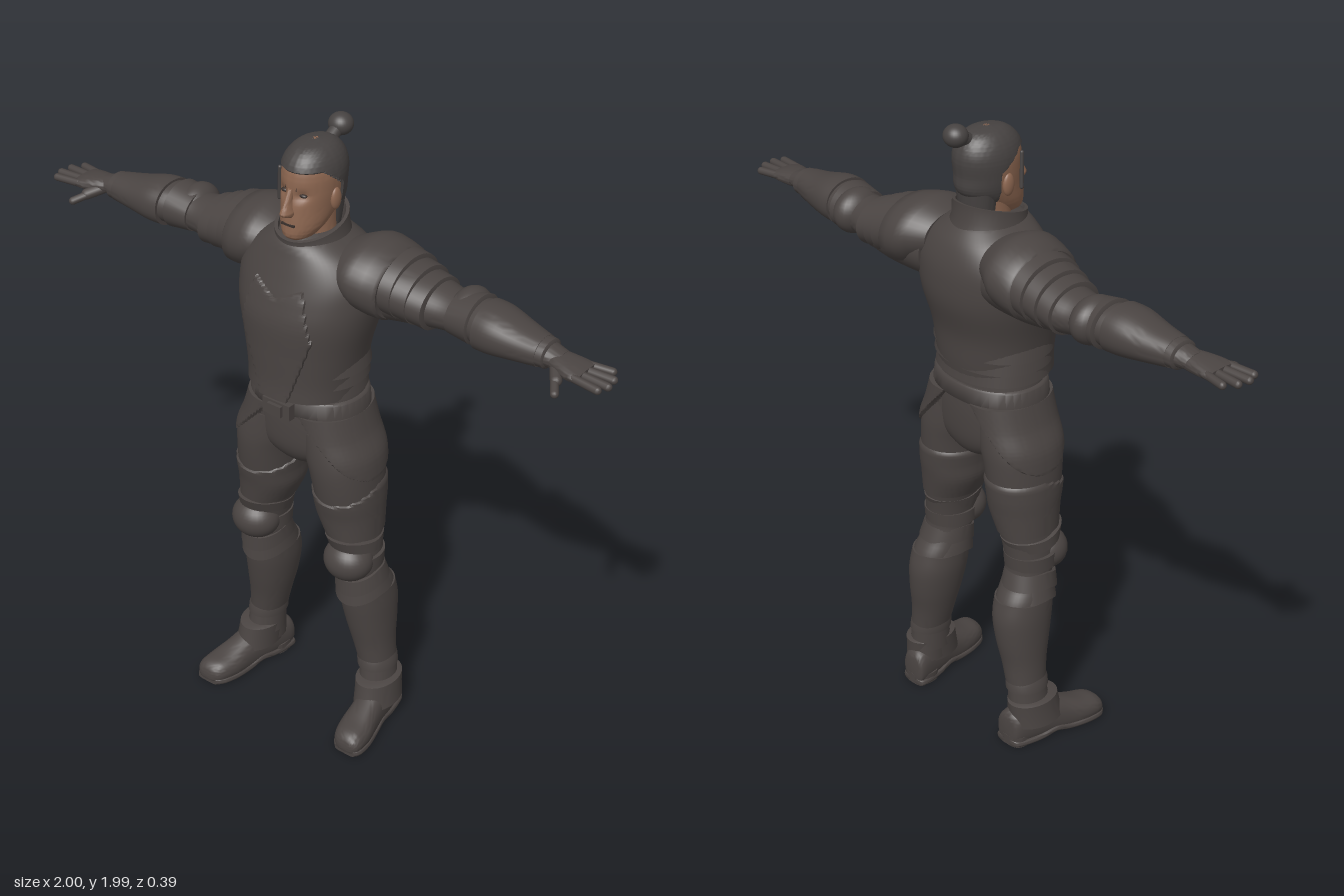
import * as THREE from 'three';
import { toCreasedNormals } from 'three/addons/utils/BufferGeometryUtils.js';

const mat = (name, color) => Object.assign(new THREE.MeshStandardMaterial({ color }), { name });

// Catmull-Rom interpolation of cross-section rows
function refine(rows, sub) {
  const out = [];
  for (let i = 0; i < rows.length - 1; i++) {
    const p0 = rows[Math.max(i - 1, 0)], p1 = rows[i], p2 = rows[i + 1], p3 = rows[Math.min(i + 2, rows.length - 1)];
    for (let k = 0; k < sub; k++) {
      const t = k / sub;
      out.push(p1.map((v, j) => 0.5 * (2 * v + (p2[j] - p0[j]) * t + (2 * p0[j] - 5 * v + 4 * p2[j] - p3[j]) * t * t
        + (3 * v - p0[j] - 3 * p2[j] + p3[j]) * t * t * t)));
    }
  }
  out.push(rows[rows.length - 1]);
  return out;
}

// Closed loft; row = [position on axis, centre a, centre b, radius a, radius b].
// A mask keeps only part of the surface raised, which makes a fitted plate.
function loft(axis, rows, { seg = 40, sub = 4, n = 2, mask, raise = 0, deform } = {}) {
  const rings = refine(rows, sub), pos = [], idx = [];
  const place = (t, a, b) => axis === 'y' ? [a, t, b] : axis === 'x' ? [t, a, b] : [a, b, t];
  for (const [t, a, b, ra, rb] of rings) {
    for (let j = 0; j < seg; j++) {
      const th = j / seg * Math.PI * 2, c0 = Math.cos(th), s0 = Math.sin(th);
      const c = Math.sign(c0) * Math.abs(c0) ** (2 / n), s = Math.sign(s0) * Math.abs(s0) ** (2 / n);
      let off = raise;
      if (mask) off = -0.012 + (raise + 0.012) * THREE.MathUtils.smoothstep(mask(...place(t, a + ra * c, b + rb * s)), -0.004, 0.004);
      let p = place(t, a + Math.max(ra + off, 0.001) * c, b + Math.max(rb + off, 0.001) * s);
      if (deform) p = deform(...p);
      pos.push(...p);
    }
  }
  const last = (rings.length - 1) * seg, c0 = rings.length * seg;
  for (const start of [0, last]) {
    const m = [0, 0, 0];
    for (let j = 0; j < seg; j++) for (let k = 0; k < 3; k++) m[k] += pos[(start + j) * 3 + k] / seg;
    pos.push(...m);
  }
  for (let j = 0; j < seg; j++) {
    const k = (j + 1) % seg;
    for (let i = 0; i < rings.length - 1; i++) {
      const a = i * seg + j, b = a + seg, c = i * seg + k, d = c + seg;
      idx.push(a, b, c, c, b, d);
    }
    idx.push(c0, j, k, c0 + 1, last + k, last + j);
  }
  // turn the faces outward
  const v = i => new THREE.Vector3().fromArray(pos, i * 3);
  let vol = 0;
  for (let i = 0; i < idx.length; i += 3) vol += v(idx[i]).dot(v(idx[i + 1]).cross(v(idx[i + 2])));
  if (vol < 0) idx.reverse();
  const g = new THREE.BufferGeometry();
  g.setAttribute('position', new THREE.Float32BufferAttribute(pos, 3));
  g.setIndex(idx);
  return toCreasedNormals(g, 0.75);
}

function mirrored(src) {
  const g = src.index ? src.toNonIndexed() : src.clone();
  g.deleteAttribute('uv');
  g.scale(-1, 1, 1);
  for (const key of ['position', 'normal']) {
    const a = g.attributes[key].array;
    for (let i = 0; i < a.length; i += 9) for (let k = 3; k < 6; k++) [a[i + k], a[i + k + 3]] = [a[i + k + 3], a[i + k]];
  }
  return g;
}

const ball = (x, y, z, rx, ry, rz) => new THREE.SphereGeometry(1, 28, 20).scale(rx, ry, rz).translate(x, y, z);
const box = (x, y, z, w, h, d) => new THREE.BoxGeometry(w, h, d).translate(x, y, z);
function rod(a, b, r) {
  const A = new THREE.Vector3(...a), B = new THREE.Vector3(...b), d = B.clone().sub(A);
  const q = new THREE.Quaternion().setFromUnitVectors(new THREE.Vector3(0, 1, 0), d.clone().normalize());
  const m = A.add(B).multiplyScalar(0.5);
  return new THREE.CapsuleGeometry(r, d.length(), 5, 12).applyQuaternion(q).translate(m.x, m.y, m.z);
}

export function createModel() {
  const model = new THREE.Group();
  const armour = mat('armour', 0x4a4442), hair = mat('hair', 0x464241), skin = mat('skin', 0x8c6650), dark = mat('brow', 0x3a302c);
  const add = (name, g, m = armour) => {
    const mesh = new THREE.Mesh(g, m);
    mesh.name = name;
    model.add(mesh);
  };
  const pair = (name, g, m) => { add(name + 'Left', g, m); add(name + 'Right', mirrored(g), m); };

  // Head
  const headRows = [[1.685, 0, 0.06, 0.03, 0.035], [1.70, 0, 0.05, 0.047, 0.06], [1.73, 0, 0.03, 0.064, 0.08],
    [1.78, 0, 0, 0.075, 0.106], [1.83, 0, -0.006, 0.081, 0.105], [1.88, 0, -0.01, 0.081, 0.105],
    [1.92, 0, -0.012, 0.068, 0.09], [1.948, 0, -0.015, 0.042, 0.058], [1.958, 0, -0.015, 0.008, 0.01]];
  const sockets = (x, y, z) => [x, y, z > 0 ? z - 0.012 * Math.exp(-(((Math.abs(x) - 0.032) / 0.018) ** 2) - ((y - 1.825) / 0.014) ** 2) : z];
  add('head', loft('y', headRows, { seg: 64, sub: 6, deform: sockets }), skin);
  add('neck', loft('y', [[1.6, 0, -0.01, 0.07, 0.075], [1.7, 0, -0.01, 0.062, 0.07], [1.78, 0, -0.015, 0.062, 0.07]]), skin);
  add('nose', loft('y', [[1.762, 0, 0.10, 0.012, 0.014], [1.776, 0, 0.106, 0.018, 0.032], [1.80, 0, 0.103, 0.011, 0.025], [1.845, 0, 0.092, 0.008, 0.012]], { seg: 16 }), skin);
  add('mouth', box(0, 1.738, 0.108, 0.045, 0.006, 0.008), dark);
  pair('brow', box(0.035, 1.846, 0.09, 0.036, 0.009, 0.009).rotateZ(0.02), dark);
  pair('eye', ball(0.032, 1.826, 0.08, 0.013, 0.006, 0.008), dark);
  pair('ear', ball(0.08, 1.80, -0.005, 0.012, 0.034, 0.02), skin);

  // Hair with topknot
  add('hairCap', loft('y', headRows.slice(2), {
    seg: 72, sub: 10, raise: 0.006,
    mask: (x, y, z) => Math.max(y - (z > 0.04 ? 1.892 : 1.86 + z * 0.8), Math.min(-0.025 - z, y - 1.745)),
  }), hair);
  add('nape', loft('y', [[1.68, 0, -0.045, 0.055, 0.05], [1.74, 0, -0.05, 0.062, 0.052], [1.80, 0, -0.05, 0.07, 0.058]]), hair);
  add('topknotStem', rod([0, 1.925, -0.07], [0, 1.95, -0.115], 0.02), hair);
  add('topknot', ball(0, 1.957, -0.13, 0.037, 0.033, 0.036), hair);
  add('looseStrand', rod([-0.068, 1.875, 0.058], [-0.076, 1.775, 0.05], 0.006), hair);

  // Cuirass, raised breastplate, waist lames and collar
  const torso = [[1.205, 0, 0.025, 0.172, 0.157], [1.26, 0, 0.02, 0.176, 0.16], [1.35, 0, 0.017, 0.19, 0.166],
    [1.45, 0, 0.005, 0.213, 0.18], [1.52, 0, -0.005, 0.222, 0.175], [1.58, 0, -0.012, 0.215, 0.162],
    [1.635, 0, -0.012, 0.175, 0.142], [1.675, 0, -0.005, 0.115, 0.118], [1.695, 0, -0.005, 0.08, 0.09]];
  add('cuirass', loft('y', torso, { seg: 64, sub: 5, n: 2.2 }));
  add('breastplate', loft('y', torso.slice(0, 6), {
    seg: 128, sub: 16, n: 2.2, raise: 0.008,
    mask: (x, y, z) => Math.min(z - 0.02, (y > 1.42 ? 0.125 - (y - 1.42) * 0.25 : 0.125 - (1.42 - y) * 0.34) - Math.abs(x), 1.53 + Math.abs(x) * 0.5 - y),
  }));
  for (let i = 0; i < 3; i++) {
    const y = 1.205 + i * 0.04, r = 0.17 + i * 0.006;
    add('waistLame' + (i + 1), loft('y', [[y, 0, 0.012, r + 0.01, 0.15], [y + 0.045, 0, 0.012, r + 0.001, 0.145]], { sub: 1, n: 2.2 }));
  }
  add('collar', loft('y', [[1.64, 0, -0.005, 0.125, 0.128], [1.68, 0, -0.002, 0.104, 0.112], [1.72, 0, 0, 0.1, 0.115],
    [1.72, 0, 0, 0.09, 0.105], [1.65, 0, 0, 0.08, 0.085]], { sub: 1, deform: (x, y, z) => [x, y - z * 0.26 * (y - 1.62) / 0.1, z] }));

  // Hips and belt
  add('hips', loft('y', [[0.925, 0, 0, 0.03, 0.06], [0.95, 0, 0, 0.1, 0.1], [1.0, 0, 0.003, 0.18, 0.125], [1.08, 0, 0.003, 0.187, 0.133],
    [1.15, 0, 0.003, 0.178, 0.132], [1.22, 0, 0.005, 0.168, 0.13]], { n: 2.2 }));
  add('belt', loft('y', [[1.135, 0, 0.005, 0.186, 0.14], [1.14, 0, 0.005, 0.19, 0.144], [1.185, 0, 0.005, 0.184, 0.142], [1.19, 0, 0.005, 0.178, 0.138]], { sub: 1, n: 2.2 }));
  add('buckle', box(0, 1.158, 0.158, 0.1, 0.05, 0.024));
  add('buckleStud', box(0, 1.158, 0.17, 0.05, 0.036, 0.022));

  // Legs
  const leg = [[1.08, 0.10, 0.005, 0.09, 0.125], [1.0, 0.125, 0.005, 0.108, 0.13], [0.94, 0.138, 0.005, 0.103, 0.128],
    [0.85, 0.147, 0.002, 0.097, 0.118], [0.79, 0.15, 0, 0.093, 0.107], [0.72, 0.165, 0, 0.077, 0.095], [0.62, 0.178, -0.002, 0.07, 0.08],
    [0.56, 0.18, -0.015, 0.07, 0.075], [0.50, 0.187, -0.035, 0.075, 0.09], [0.44, 0.19, -0.045, 0.075, 0.093],
    [0.36, 0.197, -0.05, 0.068, 0.083], [0.28, 0.207, -0.052, 0.058, 0.068], [0.2, 0.22, -0.055, 0.05, 0.06], [0.08, 0.225, -0.06, 0.05, 0.062]];
  pair('leg', loft('y', leg, { n: 2.1 }));
  pair('tasset', loft('y', [[0.93, 0.135, 0.003, 0.108, 0.13], [1.0, 0.122, 0.003, 0.113, 0.135], [1.07, 0.098, 0.003, 0.108, 0.135], [1.14, 0.075, 0.003, 0.11, 0.135]],
    { seg: 96, sub: 12, n: 2.1, raise: 0.005, mask: (x, y) => x - 0.06 - (1.13 - y) * 0.9 }));
  pair('cuisse', loft('y', leg.slice(2, 6), { seg: 80, sub: 10, n: 2.1, raise: 0.006, mask: (x, y, z) => 0.9 - y - Math.max(0, z) * 0.35 }));

  // Knee armour: peaked bands around a rounded cop
  const peaked = (k, zMid) => (x, y, z) => [x, y + k * Math.max(0, z - zMid), z];
  pair('upperKneeBand', loft('y', [[0.665, 0.175, 0.008, 0.077, 0.09], [0.70, 0.17, 0.008, 0.08, 0.104], [0.705, 0.17, 0.006, 0.072, 0.09]], { sub: 1, deform: peaked(0.2, 0) }));
  pair('kneeCop', ball(0.18, 0.63, 0.05, 0.079, 0.068, 0.072));
  pair('kneeStrap', loft('y', [[0.60, 0.178, 0, 0.078, 0.082], [0.645, 0.178, 0, 0.08, 0.086]], { sub: 1 }));
  for (let i = 0; i < 2; i++) {
    const y = 0.50 + i * 0.04;
    pair('shinLame' + (i + 1), loft('y', [[y, 0.186, -0.022 + i * 0.01, 0.083 - i * 0.003, 0.096 - i * 0.006], [y + 0.05, 0.182, -0.012 + i * 0.008, 0.074, 0.08]],
      { sub: 1, deform: peaked(-0.4, 0) }));
  }
  pair('greave', loft('y', leg.slice(8, 13), { n: 2.1, raise: 0.005 }));
  pair('greaveCuff', loft('y', [[0.19, 0.222, -0.053, 0.06, 0.07], [0.215, 0.219, -0.053, 0.06, 0.069], [0.235, 0.215, -0.053, 0.054, 0.062]], { sub: 1 }));

  // Boots, toes turned out
  const turn = floor => (x, y, z) => [x + 0.218 + (z + 0.14) * 0.185, Math.max(y, floor), z];
  const boot = [[-0.138, 0, 0.05, 0.025, 0.04], [-0.125, 0, 0.055, 0.045, 0.06], [-0.05, 0, 0.06, 0.05, 0.075], [0.01, 0, 0.055, 0.05, 0.07],
    [0.06, 0, 0.045, 0.052, 0.06], [0.12, 0, 0.037, 0.057, 0.046], [0.17, 0, 0.034, 0.05, 0.038], [0.192, 0, 0.03, 0.034, 0.025], [0.198, 0, 0.026, 0.012, 0.01]];
  pair('boot', loft('z', boot, { n: 2.3, deform: turn(0.014) }));
  pair('sole', loft('z', boot.slice(0, 8).map(([z, , , r]) => [z, 0, z > -0.05 && z < 0.05 ? 0.022 : 0.012, r + 0.003, 0.012]), { n: 4, deform: turn(0) }));
  pair('heel', loft('y', [[0, 0.224, -0.093, 0.046, 0.045], [0.035, 0.224, -0.093, 0.047, 0.046]], { sub: 1, n: 3 }));
  pair('ankleLame', loft('y', [[0.07, 0.242, -0.03, 0.066, 0.094], [0.11, 0.238, -0.036, 0.064, 0.09], [0.15, 0.235, -0.042, 0.064, 0.088], [0.155, 0.232, -0.045, 0.055, 0.07]], { sub: 1 }));
  pair('ankle', loft('y', [[0.12, 0.228, -0.05, 0.058, 0.07], [0.2, 0.222, -0.054, 0.053, 0.063]], { sub: 1 }));

  // Arms
  pair('arm', loft('x', [[0.13, 1.555, -0.05, 0.095, 0.11], [0.22, 1.56, -0.055, 0.10, 0.115], [0.3, 1.553, -0.065, 0.085, 0.102],
    [0.4, 1.55, -0.068, 0.066, 0.085], [0.46, 1.55, -0.065, 0.058, 0.073], [0.52, 1.555, -0.063, 0.06, 0.074], [0.6, 1.555, -0.05, 0.062, 0.078],
    [0.7, 1.55, -0.045, 0.047, 0.062], [0.78, 1.547, -0.04, 0.034, 0.044], [0.83, 1.543, -0.036, 0.024, 0.038]]));
  // Overlapping shoulder plates
  pair('pauldron', loft('x', [[0.115, 1.60, -0.04, 0.07, 0.11], [0.165, 1.60, -0.045, 0.092, 0.138], [0.2, 1.59, -0.05, 0.107, 0.147], [0.27, 1.575, -0.055, 0.105, 0.135], [0.275, 1.575, -0.055, 0.09, 0.12]], { sub: 2 }));
  [[0.25, 1.678], [0.295, 1.658], [0.34, 1.638]].forEach(([x, top], i) => {
    const r = 0.092 - i * 0.009, rz = 0.125 - i * 0.01;
    pair('shoulderLame' + (i + 1), loft('x', [[x, top - r, -0.06, r, rz], [x + 0.062, top - r - 0.012, -0.064, r, rz - 0.006], [x + 0.065, top - r - 0.012, -0.064, r - 0.012, rz - 0.02]], { sub: 1 }));
  });
  pair('elbowCop', ball(0.495, 1.557, -0.078, 0.055, 0.07, 0.082));
  pair('elbowFlange', loft('x', [[0.47, 1.553, -0.062, 0.062, 0.076], [0.545, 1.556, -0.06, 0.072, 0.086], [0.55, 1.556, -0.06, 0.06, 0.075]], { sub: 1 }));
  pair('vambrace', loft('x', [[0.57, 1.555, -0.052, 0.07, 0.084], [0.62, 1.555, -0.049, 0.067, 0.084], [0.7, 1.55, -0.045, 0.052, 0.068], [0.765, 1.548, -0.04, 0.043, 0.053]], { n: 2.2 }));
  pair('wristBand', loft('x', [[0.745, 1.549, -0.041, 0.044, 0.055], [0.785, 1.547, -0.04, 0.041, 0.051], [0.79, 1.547, -0.04, 0.033, 0.042]], { sub: 1 }));

  // Hands
  pair('palm', loft('x', [[0.80, 1.543, -0.036, 0.024, 0.036], [0.84, 1.541, -0.03, 0.024, 0.046], [0.88, 1.54, -0.026, 0.02, 0.054], [0.91, 1.539, -0.026, 0.013, 0.055]], { n: 2.4 }));
  [[-0.067, 0.958, -0.078], [-0.039, 0.982, -0.044], [-0.011, 0.988, -0.006], [0.017, 0.975, 0.026]].forEach(([z, x, zTip], i) =>
    pair('finger' + (i + 1), rod([0.895, 1.54, z], [x, 1.538, zTip], 0.012)));
  pair('thumbBase', rod([0.82, 1.535, -0.012], [0.85, 1.522, 0.03], 0.017));
  pair('thumb', rod([0.845, 1.522, 0.03], [0.872, 1.508, 0.07], 0.012));
  return model;
}
